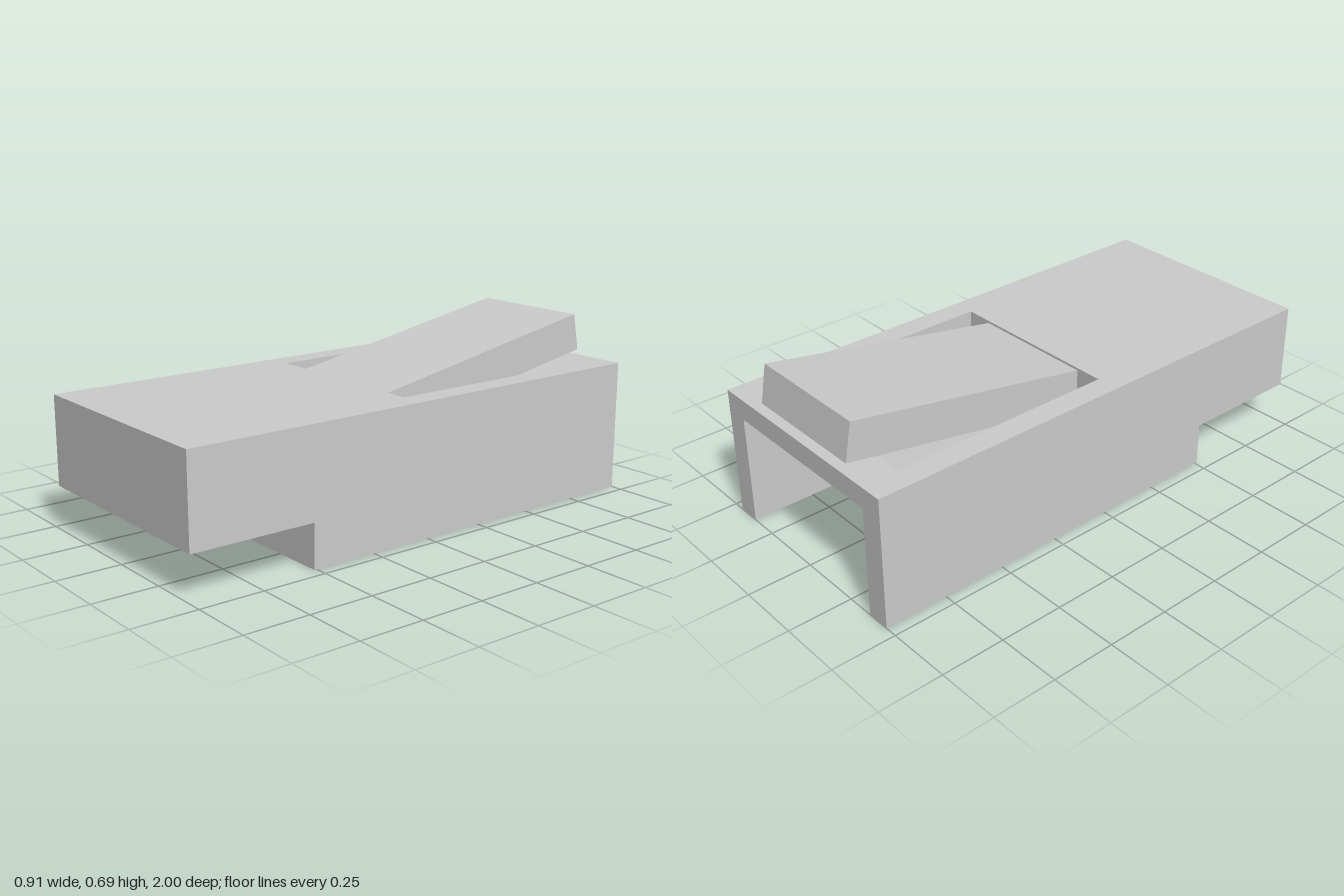
import * as THREE from 'three';

const grey = new THREE.MeshStandardMaterial({ color: 0xcccccc });
grey.name = 'light grey plastic';

// Extrudes a side profile, given as [z, y] points, from x0 to x1.
function slab(name, profile, x0, x1) {
  const shape = new THREE.Shape(profile.map(([z, y]) => new THREE.Vector2(-z, y)));
  const geometry = new THREE.ExtrudeGeometry(shape, { depth: x1 - x0, bevelEnabled: false });
  geometry.rotateY(Math.PI / 2).translate(x0, 0, 0);
  const mesh = new THREE.Mesh(geometry, grey);
  mesh.name = name;
  return mesh;
}

export function createModel() {
  const model = new THREE.Group();
  model.name = 'latchedPlug';
  const top = 0.515, outer = 0.453, inner = 0.361;

  // Full-height side walls with the stepped underside
  const nose = [[0.51, 0], [0.51, 0.17], [1, 0.17], [1, top]];
  const wall = [[-1, 0], ...nose, [-1, top]];
  model.add(slab('leftWall', wall, inner, outer), slab('rightWall', wall, -outer, -inner));

  // Core: sloped latch recess on top, open cavity with a sloped roof at the back
  const cavityEnd = -0.39;
  const recess = [[0.04, top], [0.04, 0.395], [-0.385, 0.418], [-0.855, top]];
  const roof = [[-1, top], [-1, 0.433], [cavityEnd, 0.331]];
  const slot = [[cavityEnd, 0.313], [0, 0.313], [0, 0.184], [cavityEnd, 0.184]];
  const solidCore = [[cavityEnd, 0], ...nose, ...recess, ...roof];
  const slottedCore = [...solidCore, ...slot];

  // Eight contact slots between nine ribs
  const core = new THREE.Group();
  core.name = 'core';
  const count = 8, pitch = 2 * inner / count, half = 0.036;
  let x = -inner;
  for (let i = 0; i < count; i++) {
    const c = -inner + pitch * (i + 0.5);
    core.add(slab('rib', solidCore, x, c - half), slab('contactSlot', slottedCore, c - half, c + half));
    x = c + half;
  }
  core.add(slab('rib', solidCore, x, inner));
  model.add(core);

  // Latch lever rising toward the back
  model.add(slab('latchLever', [[0.06, 0.502], [-0.953, 0.688], [-0.98, 0.541], [0.06, 0.35]], -0.252, 0.252));
  return model;
}
